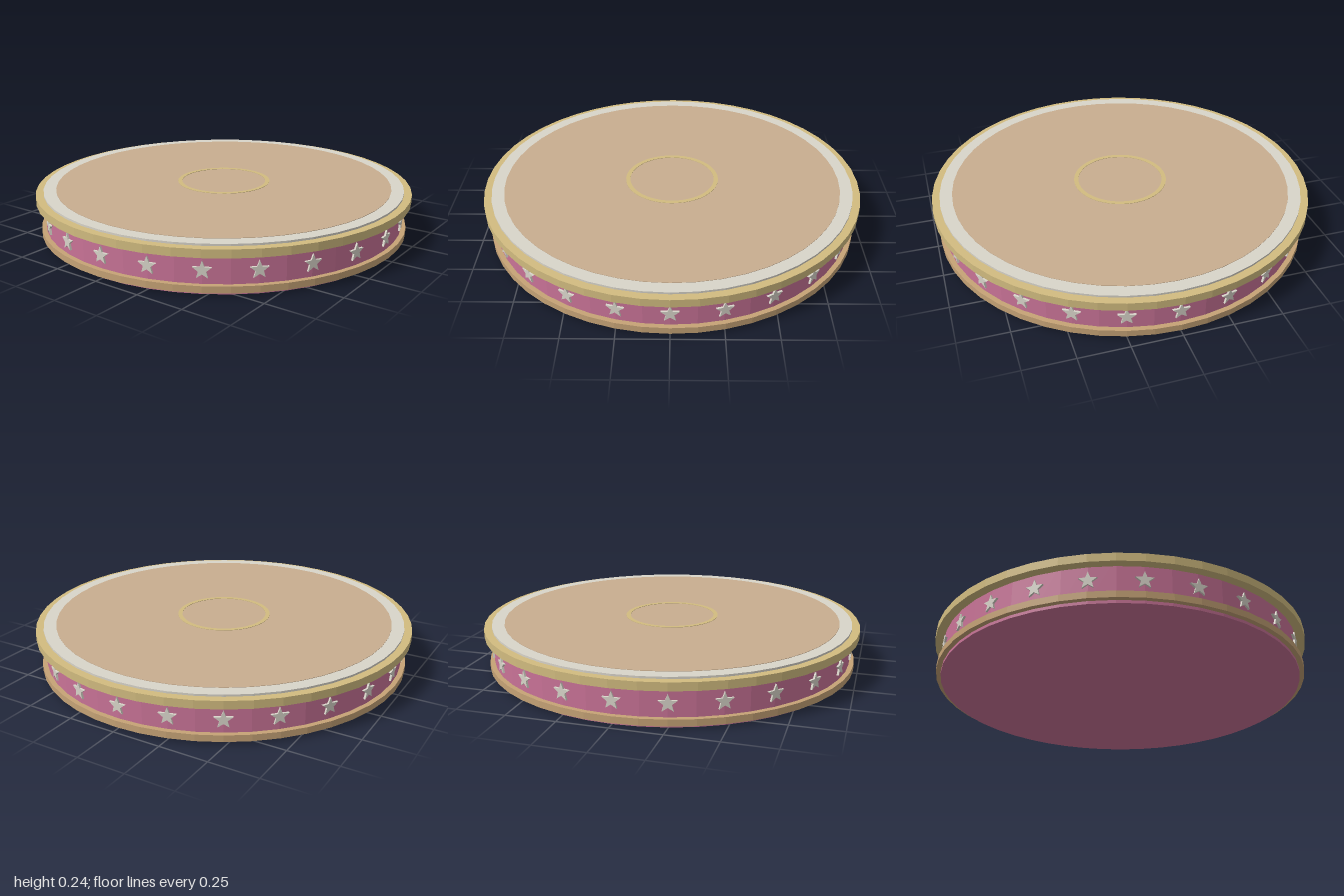
import * as THREE from 'three';

const SIDES = 48;
const STARS = 24;

const paint = (color) => new THREE.MeshStandardMaterial({ color, flatShading: true });

export function createModel() {
  const group = new THREE.Group();
  const pink = paint(0xc97397);
  const gold = paint(0xd2bc80);
  const bronze = paint(0xc6a376);
  const cream = paint(0xd9d5ca);
  const tan = paint(0xc8ae90);

  const add = (name, geometry, material, y = 0) => {
    const mesh = new THREE.Mesh(geometry, material);
    mesh.name = name;
    mesh.position.y = y;
    group.add(mesh);
    return mesh;
  };

  // Solid disc between two heights
  const disc = (name, radius, y0, y1, material) =>
    add(name, new THREE.CylinderGeometry(radius, radius, y1 - y0, SIDES), material, (y0 + y1) / 2);

  // Square-section hoop between two radii and heights
  const hoop = (name, inner, outer, y0, y1, material) => {
    const profile = [[inner, y0], [outer, y0], [outer, y1], [inner, y1], [inner, y0]]
      .map(([r, y]) => new THREE.Vector2(r, y));
    return add(name, new THREE.LatheGeometry(profile, SIDES), material);
  };

  // Drum and its two bands
  disc('drumBody', 0.955, 0, 0.23, pink);
  hoop('lowerBand', 0.94, 0.98, 0.015, 0.048, bronze);
  hoop('upperBand', 0.94, 1.0, 0.187, 0.228, gold);

  // Top surface: cream border, floor and centre ring
  disc('topBorder', 0.96, 0.225, 0.238, cream);
  disc('topFloor', 0.895, 0.23, 0.24, tan);
  hoop('centreRing', 0.225, 0.248, 0.236, 0.242, gold);

  // Five-pointed stars around the side
  const starShape = new THREE.Shape();
  for (let i = 0; i < 10; i++) {
    const r = i % 2 ? 0.019 : 0.045;
    const a = Math.PI / 2 + (i * Math.PI) / 5;
    starShape[i ? 'lineTo' : 'moveTo'](r * Math.cos(a), r * Math.sin(a));
  }
  starShape.closePath();
  const starGeometry = new THREE.ExtrudeGeometry(starShape, { depth: 0.016, bevelEnabled: false });
  starGeometry.translate(0, 0, 0.948);
  const stars = new THREE.Group();
  stars.name = 'stars';
  for (let i = 0; i < STARS; i++) {
    const star = new THREE.Mesh(starGeometry, cream);
    star.name = 'star';
    star.position.y = 0.115;
    star.rotation.y = (i / STARS) * Math.PI * 2;
    stars.add(star);
  }
  group.add(stars);

  return group;
}
